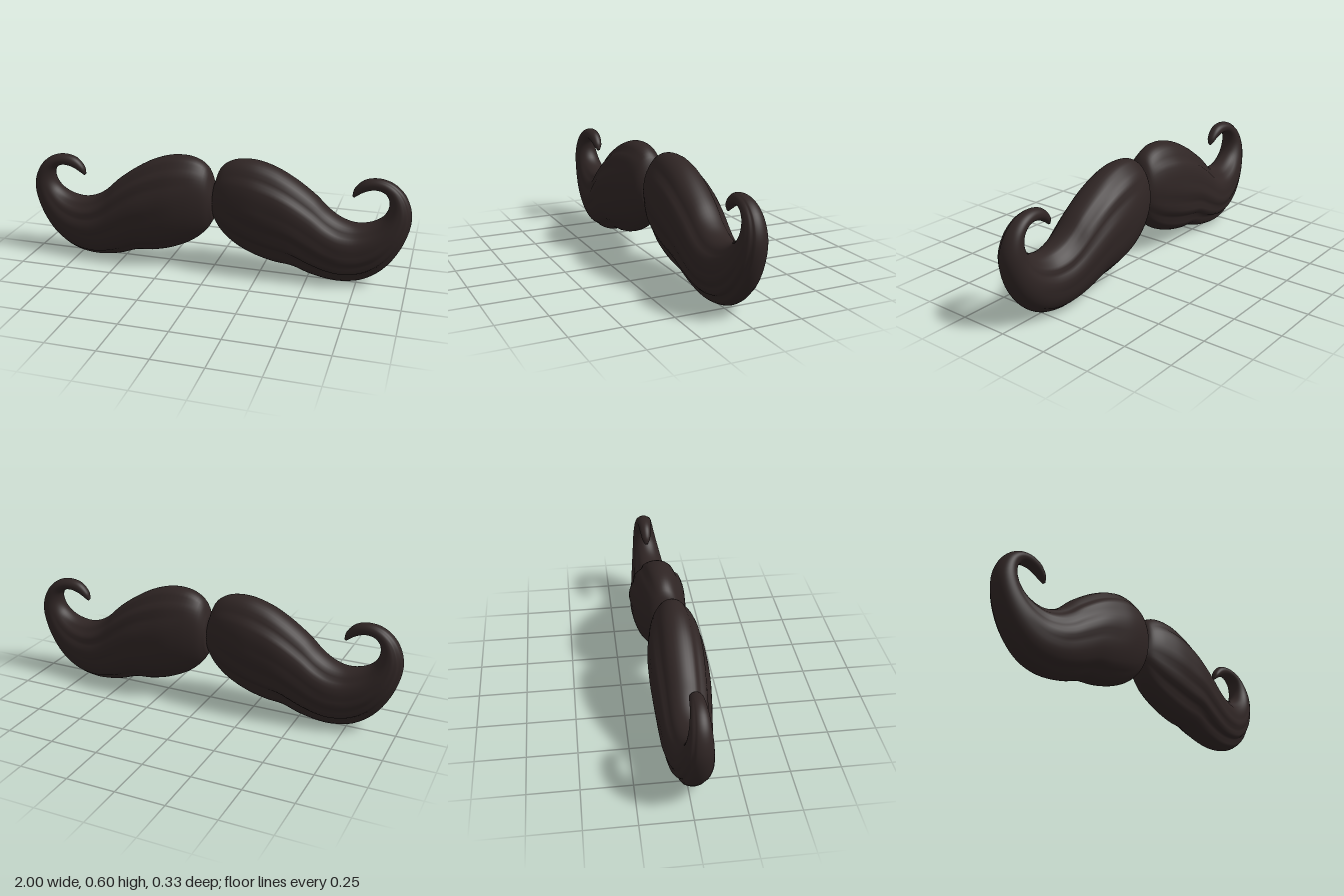
import * as THREE from 'three';

// Cross-sections from the middle to the curled tip:
// upper x, upper y, lower x, lower y, centre z, half depth
const SECTIONS = [
  [0.0, 0.46, 0.0, 0.27, -0.005, 0.06],
  [0.035, 0.55, 0.04, 0.205, -0.01, 0.093],
  [0.1, 0.592, 0.115, 0.14, -0.013, 0.12],
  [0.2, 0.6, 0.22, 0.09, -0.015, 0.141],
  [0.3, 0.575, 0.33, 0.062, -0.016, 0.147],
  [0.4, 0.525, 0.42, 0.053, -0.016, 0.147],
  [0.515, 0.445, 0.51, 0.022, -0.016, 0.139],
  [0.595, 0.372, 0.6, 0.004, -0.015, 0.13],
  [0.66, 0.333, 0.68, 0.001, -0.014, 0.122],
  [0.73, 0.317, 0.79, 0.026, -0.014, 0.108],
  [0.81, 0.332, 0.89, 0.1, -0.016, 0.094],
  [0.865, 0.37, 0.97, 0.23, -0.02, 0.077],
  [0.886, 0.42, 1.0, 0.37, -0.026, 0.062],
  [0.878, 0.465, 0.965, 0.475, -0.03, 0.05],
  [0.85, 0.49, 0.9, 0.535, -0.032, 0.042],
  [0.81, 0.495, 0.825, 0.555, -0.033, 0.036],
  [0.765, 0.482, 0.755, 0.54, -0.033, 0.031],
  [0.73, 0.46, 0.71, 0.492, -0.033, 0.022],
  [0.712, 0.446, 0.702, 0.456, -0.033, 0.008],
];

// Hair grooves: angle at the middle, angle at the tip, depth, start, end
// (angle 0 is the upper edge, PI/2 the front, PI the lower edge, 3PI/2 the back)
const GROOVES = [
  [0.75, 0.95, 0.07, 0.06, 0.6],
  [1.35, 1.75, 0.05, 0.1, 0.7],
  [1.8, 2.2, 0.1, 0.02, 0.75],
  [2.3, 2.65, 0.14, 0.0, 0.85],
  [3.8, 3.65, 0.06, 0.1, 0.6],
  [4.7, 4.4, 0.04, 0.15, 0.55],
  [5.35, 4.95, 0.08, 0.1, 0.65],
  [5.8, 5.5, 0.06, 0.05, 0.6],
];

// Sharp on one side and gentle on the other, like overlapping locks
function grooveDepth(angle, u) {
  let depth = 0;
  for (const [a0, a1, size, start, end] of GROOVES) {
    if (u <= start || u >= end) continue;
    const fade = Math.sin(Math.PI * (u - start) / (end - start)) ** 0.7;
    const d = angle - (a0 + (a1 - a0) * u);
    depth += size * fade * Math.exp(-((d / (d > 0 ? 0.07 : 0.2)) ** 2));
  }
  return depth;
}

function createHalfGeometry(rings = 80, sides = 56) {
  const curve = (f) => new THREE.CatmullRomCurve3(SECTIONS.map(f));
  const upper = curve((s) => new THREE.Vector3(s[0], s[1], 0));
  const lower = curve((s) => new THREE.Vector3(s[2], s[3], 0));
  const depth = curve((s, i) => new THREE.Vector3(i * 0.05, s[4], s[5]));
  const positions = [];
  const indices = [];
  // The first and last rings shrink to a point and close the ends
  for (let i = -1; i <= rings + 1; i++) {
    const u = THREE.MathUtils.clamp(i / rings, 0, 1);
    const size = i < 0 || i > rings ? 0 : 1;
    const top = upper.getPoint(u);
    const bottom = lower.getPoint(u);
    const d = depth.getPoint(u);
    const centre = top.clone().add(bottom).multiplyScalar(0.5);
    const half = top.clone().sub(centre);
    for (let j = 0; j < sides; j++) {
      const angle = (j / sides) * Math.PI * 2;
      const r = size * (1 - grooveDepth(angle, u));
      const c = Math.cos(angle) * r;
      positions.push(
        centre.x + half.x * c,
        centre.y + half.y * c,
        d.y + d.z * Math.sin(angle) * r,
      );
    }
  }
  for (let i = 0; i < rings + 2; i++) {
    for (let j = 0; j < sides; j++) {
      const a = i * sides + j;
      const b = i * sides + ((j + 1) % sides);
      indices.push(a, b, a + sides, b, b + sides, a + sides);
    }
  }
  const geometry = new THREE.BufferGeometry();
  geometry.setAttribute('position', new THREE.Float32BufferAttribute(positions, 3));
  geometry.setIndex(indices);
  geometry.computeVertexNormals();
  return geometry;
}

export function createModel() {
  const group = new THREE.Group();
  group.name = 'moustache';
  const hair = new THREE.MeshStandardMaterial({ color: 0x2f2524 });
  hair.name = 'dark brown hair';
  const geometry = createHalfGeometry();

  // Two equal halves, one turned half way round
  ['leftHalf', 'rightHalf'].forEach((name, i) => {
    const half = new THREE.Mesh(geometry, hair);
    half.name = name;
    half.rotation.y = i * Math.PI;
    group.add(half);
  });
  return group;
}
